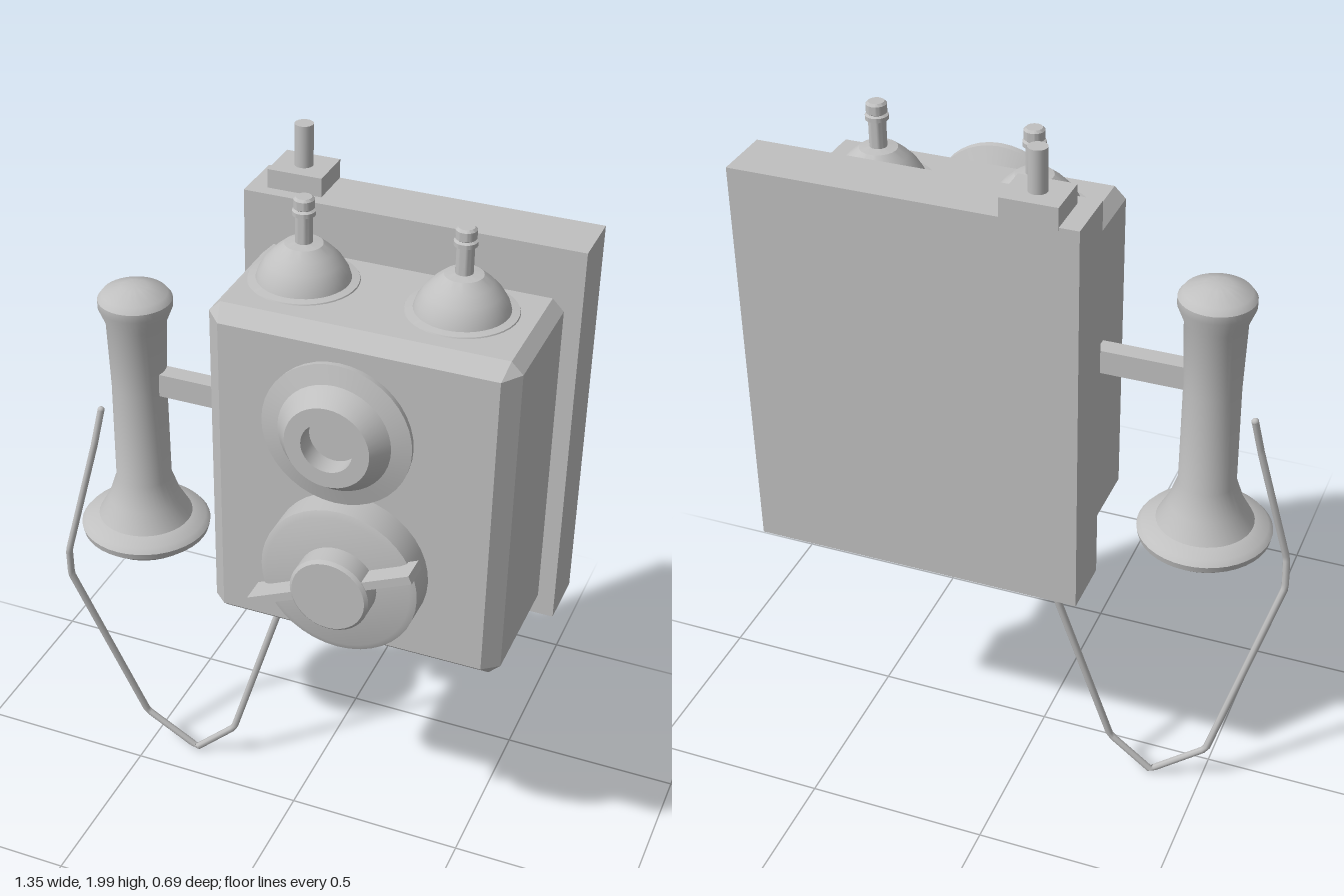
import * as THREE from 'three';
import { toCreasedNormals } from 'three/addons/utils/BufferGeometryUtils.js';
import { ConvexGeometry } from 'three/addons/geometries/ConvexGeometry.js';

const grey = new THREE.MeshStandardMaterial({ color: 0xc0c0c0 });
grey.name = 'plain grey';

export function createModel() {
  const group = new THREE.Group();

  const add = (name, geometry, x = 0, y = 0, z = 0) => {
    const mesh = new THREE.Mesh(geometry, grey);
    mesh.name = name;
    mesh.position.set(x, y, z);
    group.add(mesh);
    return mesh;
  };

  // Box given by its extents on each axis
  const block = (name, [x0, x1], [y0, y1], [z0, z1]) =>
    add(name, new THREE.BoxGeometry(x1 - x0, y1 - y0, z1 - z0),
      (x0 + x1) / 2, (y0 + y1) / 2, (z0 + z1) / 2);

  // Turned part from [radius, height] pairs
  const turned = (profile, crease = 0.5) => toCreasedNormals(
    new THREE.LatheGeometry(profile.map(([r, h]) => new THREE.Vector2(r, h)), 40), crease);

  // Wall board, with the hanging bracket and its pin
  block('backboard', [-0.215, 0.67], [0.76, 1.84], [-0.345, -0.188]);
  block('bracket', [-0.165, -0.02], [1.82, 1.89], [-0.346, -0.222]);
  add('bracketPin', new THREE.CylinderGeometry(0.024, 0.024, 0.11, 24), -0.092, 1.945, -0.283);

  // Case: chamfered corners and a chamfered front rim
  const [x0, x1, y0, y1, c] = [-0.165, 0.625, 0.79, 1.705, 0.03];
  const points = [];
  for (const [x, sx] of [[x0, 1], [x1, -1]]) {
    for (const [y, sy] of [[y0, 1], [y1, -1]]) {
      for (const z of [-0.19, 0.135]) {
        points.push(new THREE.Vector3(x + sx * c, y, z), new THREE.Vector3(x, y + sy * c, z));
      }
      points.push(new THREE.Vector3(x + sx * 0.04, y + sy * 0.037, 0.176));
    }
  }
  add('case', new ConvexGeometry(points));

  // Pair of bells with stems and finials
  const bell = turned([
    [0.142, 1.70], [0.138, 1.708], [0.118, 1.711], [0.112, 1.73], [0.095, 1.758], [0.072, 1.782],
    [0.048, 1.802], [0.022, 1.806], [0.022, 1.875], [0.029, 1.878], [0.029, 1.889],
    [0.022, 1.893], [0.026, 1.896], [0.026, 1.918], [0.02, 1.924], [0, 1.924],
  ]);
  for (const x of [0.005, 0.413]) add('bell', bell, x, 0, -0.05);

  // Mouthpiece with recessed bore
  add('mouthpiece', turned([
    [0.115, 0.17], [0.115, 0.23], [0.188, 0.268], [0.19, 0.284], [0.143, 0.297],
    [0.132, 0.31], [0.107, 0.344], [0.065, 0.344], [0.065, 0.29], [0, 0.29],
  ]).rotateX(Math.PI / 2), 0.226, 1.5);

  // Drum, hub and crank below the mouthpiece
  add('drum', turned([
    [0.207, 0.17], [0.207, 0.258], [0.19, 0.265], [0, 0.265],
  ]).rotateX(Math.PI / 2), 0.228, 1.058);
  add('hub', turned([
    [0.104, 0.26], [0.104, 0.32], [0.096, 0.328], [0, 0.328],
  ]).rotateX(Math.PI / 2), 0.228, 1.058);
  add('crank', new THREE.BoxGeometry(0.465, 0.023, 0.07), 0.224, 1.068, 0.284)
    .rotation.z = 0.42;

  // Receiver hanging on its arm
  block('hookArm', [-0.4, -0.16], [1.29, 1.355], [-0.07, -0.02]);
  add('receiver', turned([
    [0, 0.823], [0.14, 0.823], [0.173, 0.85], [0.177, 0.868], [0.165, 0.882], [0.128, 0.895],
    [0.098, 0.95], [0.075, 1.018], [0.073, 1.3], [0.079, 1.49], [0.097, 1.535],
    [0.097, 1.556], [0.085, 1.572], [0.035, 1.59], [0, 1.593],
  ], 0.6), -0.46, 0, -0.043);

  // Slack cord running from the receiver to the case
  const stops = [
    [-0.568, 1.205, -0.02], [-0.585, 1.1, 0], [-0.665, 0.755, 0.04], [-0.67, 0.665, 0.03],
    [-0.51, 0.125, -0.08], [-0.357, 0.014, -0.1], [-0.24, 0.12, -0.113],
    [-0.085, 0.66, -0.17], [-0.085, 0.79, -0.175],
  ].map((p) => new THREE.Vector3(...p));
  const path = new THREE.CurvePath();
  for (let i = 1; i < stops.length; i++) path.add(new THREE.LineCurve3(stops[i - 1], stops[i]));
  add('cord', new THREE.TubeGeometry(path, 120, 0.01, 8));
  // Cord ends
  for (const end of [stops[0], stops.at(-1)]) {
    add('cordEnd', new THREE.SphereGeometry(0.01, 10, 8), end.x, end.y, end.z);
  }

  return group;
}
